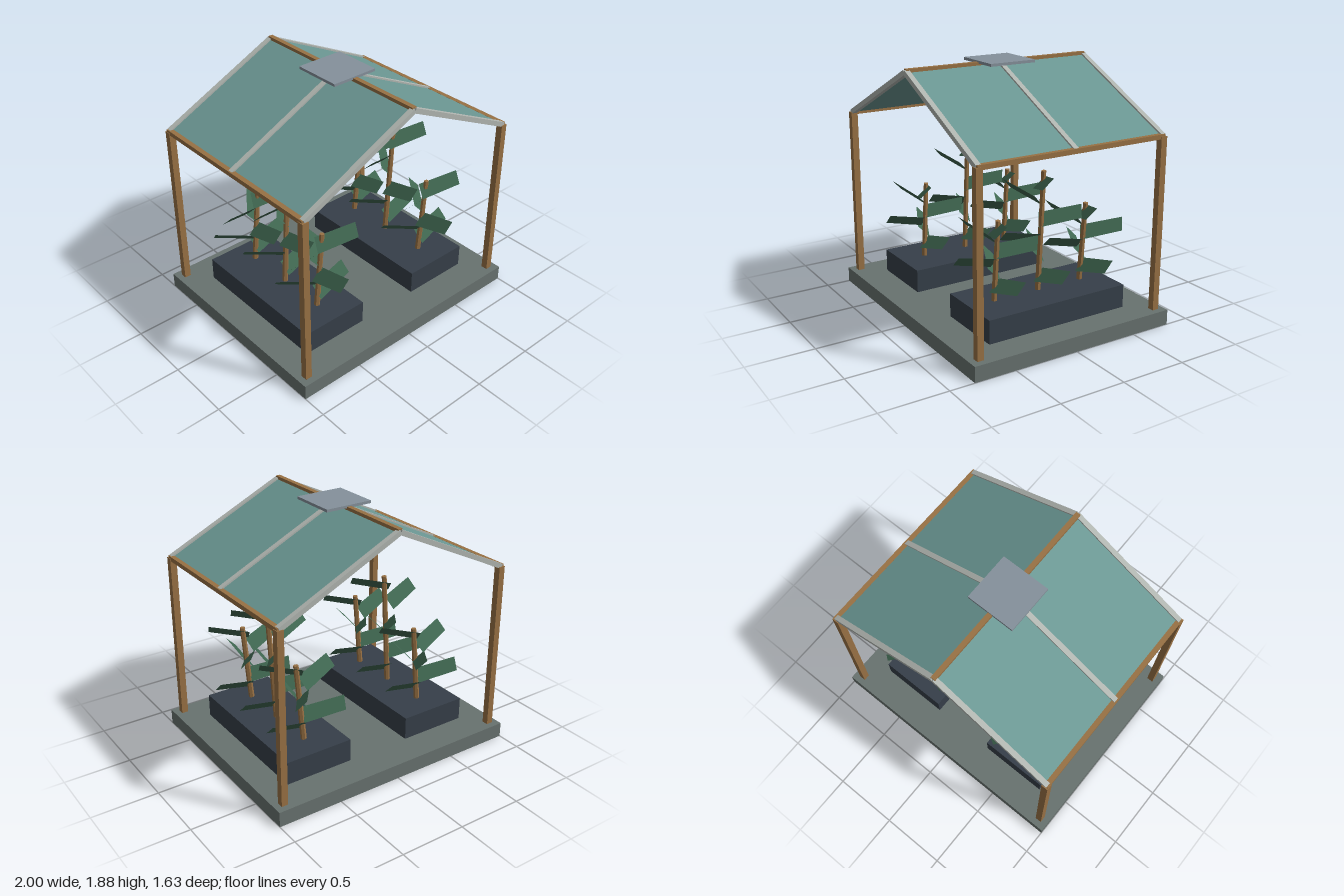
import * as THREE from 'three';

const mat = (color, extra = {}) => new THREE.MeshStandardMaterial({ color, flatShading: true, ...extra });
const MATS = {
  slab: mat(0x68726f), wood: mat(0x987144), metal: mat(0xb0b5b0),
  glass: mat(0x6b9793), bed: mat(0x363f49), vent: mat(0x85919b),
  leaf: mat(0x3f6650, { side: THREE.DoubleSide }),
};

function box(name, material, size, pos) {
  const mesh = new THREE.Mesh(new THREE.BoxGeometry(...size), material);
  mesh.name = name;
  mesh.position.set(...pos);
  return mesh;
}

// Bar sloping in the xy plane between two points, at depth z
function slopedBar(name, material, [x0, y0], [x1, y1], z, thickness, depth) {
  const length = Math.hypot(x1 - x0, y1 - y0);
  const mesh = box(name, material, [length, thickness, depth], [(x0 + x1) / 2, (y0 + y1) / 2, z]);
  mesh.rotation.z = Math.atan2(y1 - y0, x1 - x0);
  return mesh;
}

// Four-cornered blade: rises along its length, rolled 45 degrees about it
function leafGeometry() {
  const length = 0.3, rise = 0.072, root = 0.043, tip = 0.039;
  const g = new THREE.BufferGeometry();
  g.setAttribute('position', new THREE.Float32BufferAttribute([
    0, -root, root, length, rise - tip, tip,
    length, rise + tip, -tip, 0, root, -root,
  ], 3));
  g.setIndex([0, 1, 2, 0, 2, 3]);
  g.computeVertexNormals();
  return g;
}

const LEAF_ANGLES = [6, 156, 270, 55, 196, 337];

// Leaning stem with leaves spiralling up around it
function plant(height, leaf) {
  const group = new THREE.Group();
  group.name = 'plant';
  const lean = 0.055;
  const stem = new THREE.Mesh(new THREE.CylinderGeometry(0.019, 0.022, height, 6), MATS.wood);
  stem.name = 'stem';
  stem.position.set(lean / 2, height / 2, 0);
  stem.rotation.z = -Math.atan2(lean, height);
  group.add(stem);
  const step = (height - 0.155) / 5.4;
  LEAF_ANGLES.forEach((angle, i) => {
    const blade = new THREE.Mesh(leaf, MATS.leaf);
    blade.name = 'leaf';
    blade.position.y = 0.112 + i * step;
    blade.rotation.y = THREE.MathUtils.degToRad(angle);
    group.add(blade);
  });
  return group;
}

export function createModel() {
  const model = new THREE.Group();
  model.name = 'greenhouse';
  const eave = [0.93, 1.41], ridge = [0, 1.853], endZ = 0.742;

  model.add(box('baseSlab', MATS.slab, [2, 0.115, 1.63], [0, 0.0575, 0]));

  const leaf = leafGeometry();
  for (const s of [-1, 1]) {
    // Corner posts and eave beam
    for (const z of [-endZ, endZ]) {
      model.add(box('post', MATS.wood, [0.05, 1.295, 0.05], [s * 0.927, 0.7625, z]));
    }
    model.add(box('eaveBeam', MATS.wood, [0.036, 0.034, 1.51], [s * 0.93, 1.409, 0]));

    // Rafters and roof panel
    const low = [s * eave[0], eave[1]];
    for (const z of [-endZ, 0, endZ]) {
      model.add(slopedBar('rafter', MATS.metal, low, ridge, z, 0.036, 0.038));
    }
    model.add(slopedBar('roofPanel', MATS.glass, low, ridge, 0, 0.012, 1.47));

    // Planting bed with its row of plants
    const bedX = s * 0.518;
    model.add(box('plantingBed', MATS.bed, [0.532, 0.175, 1.145], [bedX, 0.2025, 0]));
    for (const [z, height] of [[-0.37, 0.605], [0, 0.9], [0.37, 0.605]]) {
      const p = plant(height, leaf);
      p.position.set(bedX, 0.29, z);
      model.add(p);
    }
  }

  // Ridge beam and roof vent
  model.add(box('ridgeBeam', MATS.wood, [0.036, 0.034, 1.5], [0, 1.858, 0]));
  model.add(box('roofVent', MATS.vent, [0.37, 0.02, 0.37], [0, 1.875, 0]));
  return model;
}
